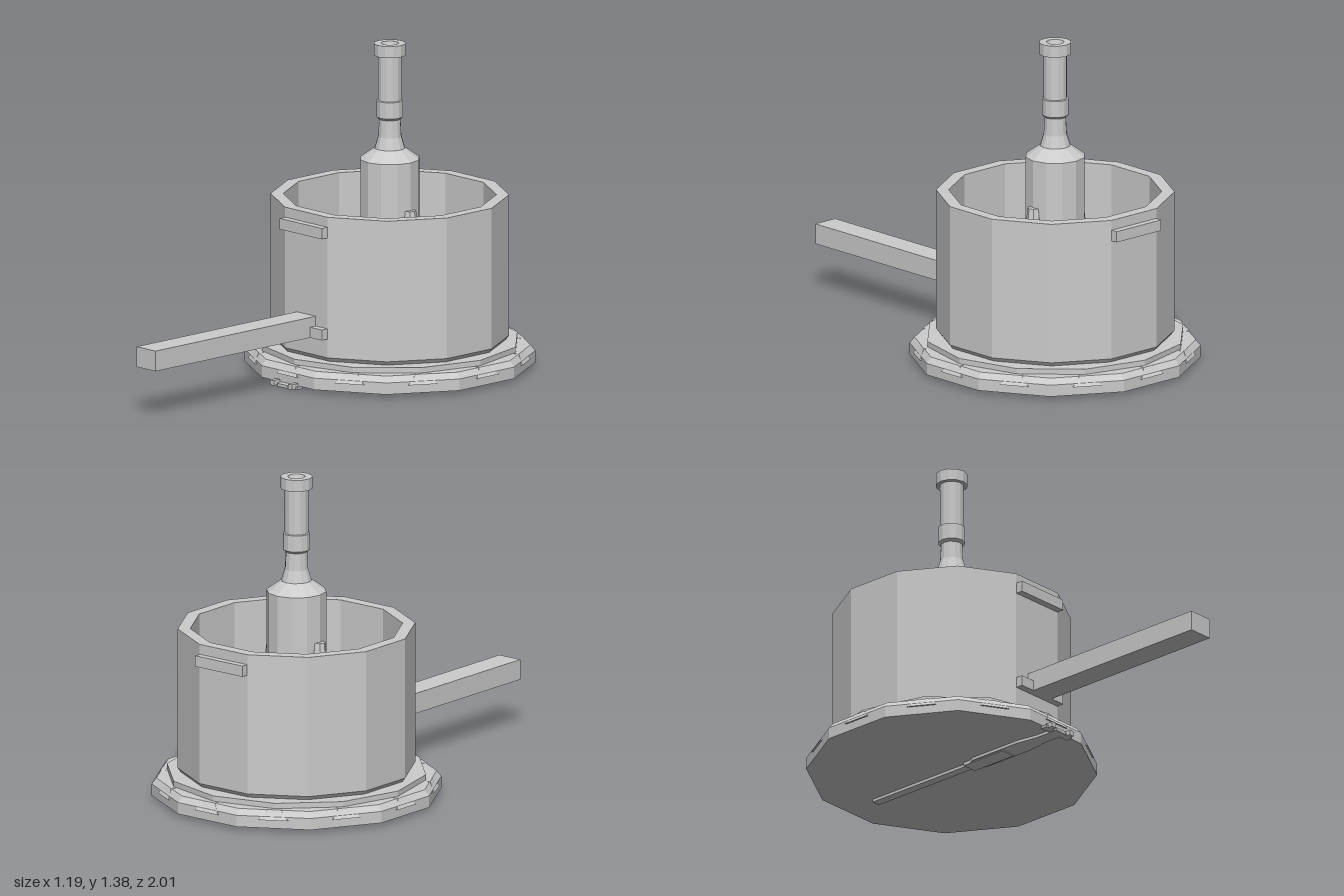
import * as THREE from 'three';

const mat = new THREE.MeshStandardMaterial({ color: 0xcccccc, flatShading: true, side: THREE.DoubleSide });
const CZ = -0.41; // axis of the tub

export function createModel() {
  const model = new THREE.Group();
  const body = new THREE.Group();
  body.name = 'tubBody';
  body.position.z = CZ;
  model.add(body);

  const add = (parent, name, geometry, x = 0, y = 0, z = 0) => {
    const mesh = new THREE.Mesh(geometry, mat);
    mesh.name = name;
    mesh.position.set(x, y, z);
    parent.add(mesh);
    return mesh;
  };
  // twelve-sided turned part; turn = PI/12 puts flats on the axes
  const turned = (name, profile, turn = 0) =>
    add(body, name, new THREE.LatheGeometry(profile.map(p => new THREE.Vector2(...p)), 12, turn));
  // box given by its limits
  const box = (parent, name, x0, x1, y0, y1, z0, z1) =>
    add(parent, name, new THREE.BoxGeometry(x1 - x0, y1 - y0, z1 - z0), (x0 + x1) / 2, (y0 + y1) / 2, (z0 + z1) / 2);
  // block standing on y = 0, with a narrower top pulled back to depth zTop
  const wedge = (wBottom, wTop, h, z0, zBottom, zTop) => {
    const g = new THREE.BoxGeometry(1, 1, 1), p = g.attributes.position;
    for (let i = 0; i < p.count; i++) {
      const top = p.getY(i) > 0;
      p.setXYZ(i, p.getX(i) * (top ? wTop : wBottom), top ? h : 0, p.getZ(i) > 0 ? (top ? zTop : zBottom) : z0);
    }
    return g;
  };

  // base with chamfered rim and raised plate
  const flat = Math.PI / 12;
  turned('base', [[0, 0.015], [0.61, 0.015], [0.61, 0.065], [0.59, 0.09], [0, 0.09]], flat);
  turned('basePlate', [[0.4, 0.09], [0.55, 0.09], [0.55, 0.113], [0.4, 0.113]]);
  for (let i = 0; i < 12; i++) {
    add(body, 'rimGrip', wedge(0.125, 0.055, 0.04, 0.55, 0.597, 0.572), 0, 0.051, 0).rotation.y = i * Math.PI / 6;
  }

  // open tub with a stepped floor
  turned('tub', [
    [0, 0.11], [0.485, 0.11], [0.5, 0.13], [0.5, 0.735], [0.447, 0.735], [0.447, 0.2],
    [0.39, 0.18], [0.335, 0.18], [0.29, 0.125], [0, 0.125],
  ], flat);
  for (let i = 0; i < 6; i++) {
    add(body, 'floorRamp', wedge(0.16, 0.2, 0.035, 0.375, 0.376, 0.43), 0, 0.18, 0).rotation.y = i * Math.PI / 3;
  }

  // centre post, shoulder, neck and hollow cap
  turned('centrePost', [
    [0.127, 0.12], [0.127, 0.89], [0.065, 0.935], [0.05, 0.985], [0.046, 1.06],
    [0.057, 1.07], [0.057, 1.14], [0.05, 1.142], [0.05, 1.335],
  ]);
  turned('postCap', [
    [0.05, 1.335], [0.068, 1.335], [0.068, 1.385], [0.037, 1.385], [0.03, 1.36], [0, 1.36],
  ]);

  // two broad side fins and a narrow front fin on the post
  for (const s of [-1, 1]) {
    const fin = add(body, 'sideFin', new THREE.CylinderGeometry(0.03, 0.1, 0.56, 8), s * 0.12, 0.405, 0);
    fin.scale.z = 0.85;
  }
  add(body, 'frontFin', wedge(0.08, 0.12, 0.4, 0, 0.29, 0.1), 0, 0.125, 0);

  // small blocks on the floor around the post
  for (const a of [0.55, -0.55, Math.PI - 0.9, Math.PI + 0.9]) {
    const spoke = new THREE.Group();
    spoke.name = 'floorSpoke';
    spoke.rotation.y = a;
    body.add(spoke);
    box(spoke, 'floorBlock', -0.025, 0.025, 0.12, 0.16, 0.13, 0.25);
  }
  box(body, 'rearBlock', -0.02, 0.02, 0.12, 0.16, -0.195, -0.12);
  box(body, 'sidePin', 0.18, 0.275, 0.15, 0.17, -0.012, 0.012);

  // handle and mounting bars
  box(model, 'handle', -0.057, 0.057, 0.21, 0.297, 0.06, 1);
  box(model, 'lowerFrontBar', -0.128, 0.128, 0.21, 0.255, 0.06, 0.105);
  box(model, 'upperFrontBar', -0.128, 0.128, 0.645, 0.692, 0.06, 0.105);
  box(model, 'upperRearBar', -0.128, 0.128, 0.645, 0.692, -0.923, -0.88);

  // flat latch under the base
  const outline = [[0.02, -0.84], [0.02, -0.31], [0.045, -0.25], [0.045, 0], [0.03, 0.1], [0.03, 0.21]];
  const latch = new THREE.Shape([...outline, ...outline.map(([x, z]) => [-x, z]).reverse()]
    .map(([x, z]) => new THREE.Vector2(x, z)));
  const latchMesh = add(model, 'latch', new THREE.ExtrudeGeometry(latch, { depth: 0.013, bevelEnabled: false }), 0, 0.016, 0);
  latchMesh.rotation.x = Math.PI / 2;
  box(model, 'latchPad', -0.035, 0.035, 0, 0.014, -0.31, -0.09);
  box(model, 'latchCrossbar', -0.08, 0.08, 0.005, 0.015, 0.17, 0.2);
  for (const s of [-1, 1]) box(model, 'latchTab', s * 0.055 - 0.012, s * 0.055 + 0.012, 0.005, 0.027, 0.185, 0.22);

  return model;
}
